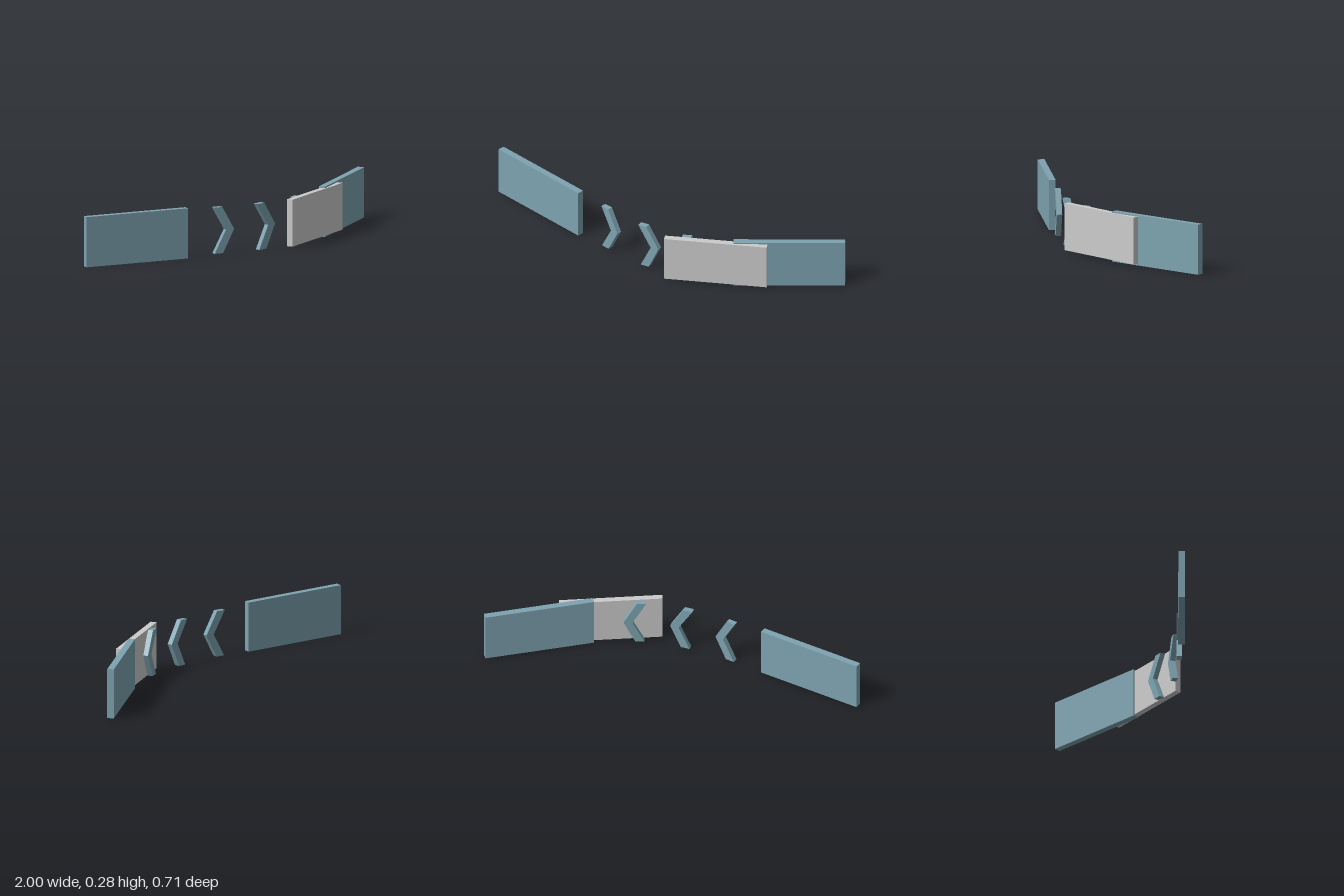
import * as THREE from 'three';

export function createModel() {
  const model = new THREE.Group();
  const teal = new THREE.MeshStandardMaterial({ color: 0x7da3b0, flatShading: true });
  const grey = new THREE.MeshStandardMaterial({ color: 0xcccccc, flatShading: true });
  const rad = THREE.MathUtils.degToRad;

  // place a part upright at (x, y, z), turned in plan and tilted in its own plane
  function add(name, geometry, material, [x, y, z], turn = 0, tilt = 0) {
    const mesh = new THREE.Mesh(geometry, material);
    mesh.name = name;
    mesh.position.set(x, y, z);
    mesh.rotation.set(0, rad(turn), rad(tilt));
    model.add(mesh);
  }

  // flat rectangular panels
  const panel = new THREE.BoxGeometry(0.613, 0.28, 0.037);
  add('leadingPanel', panel, teal, [-0.693, 0.14, 0.336]);
  add('trailingPanel', panel, teal, [0.767, 0.14, -0.125], 44.5);
  add('backingPanel', new THREE.BoxGeometry(0.569, 0.262, 0.0345), grey, [0.475, 0.141, 0.153], 36);

  // chevrons following the bend between the panels
  const outline = [[-0.06, 0.129], [-0.009, 0.129], [0.06, 0], [-0.009, -0.129], [-0.06, -0.129], [0.011, 0]];
  const shape = new THREE.Shape(outline.map(([x, y]) => new THREE.Vector2(x, y)));
  const chevron = new THREE.ExtrudeGeometry(shape, { depth: 0.03, bevelEnabled: false });
  chevron.translate(0, 0, -0.015);
  const placements = [
    [[-0.16, 0.139, 0.325], 0, 1],
    [[0.108, 0.137, 0.293], 14, 3.5],
    [[0.353, 0.139, 0.201], 33, 2],
  ];
  placements.forEach(([position, turn, tilt], i) => add(`chevron${i + 1}`, chevron, teal, position, turn, tilt));

  return model;
}
